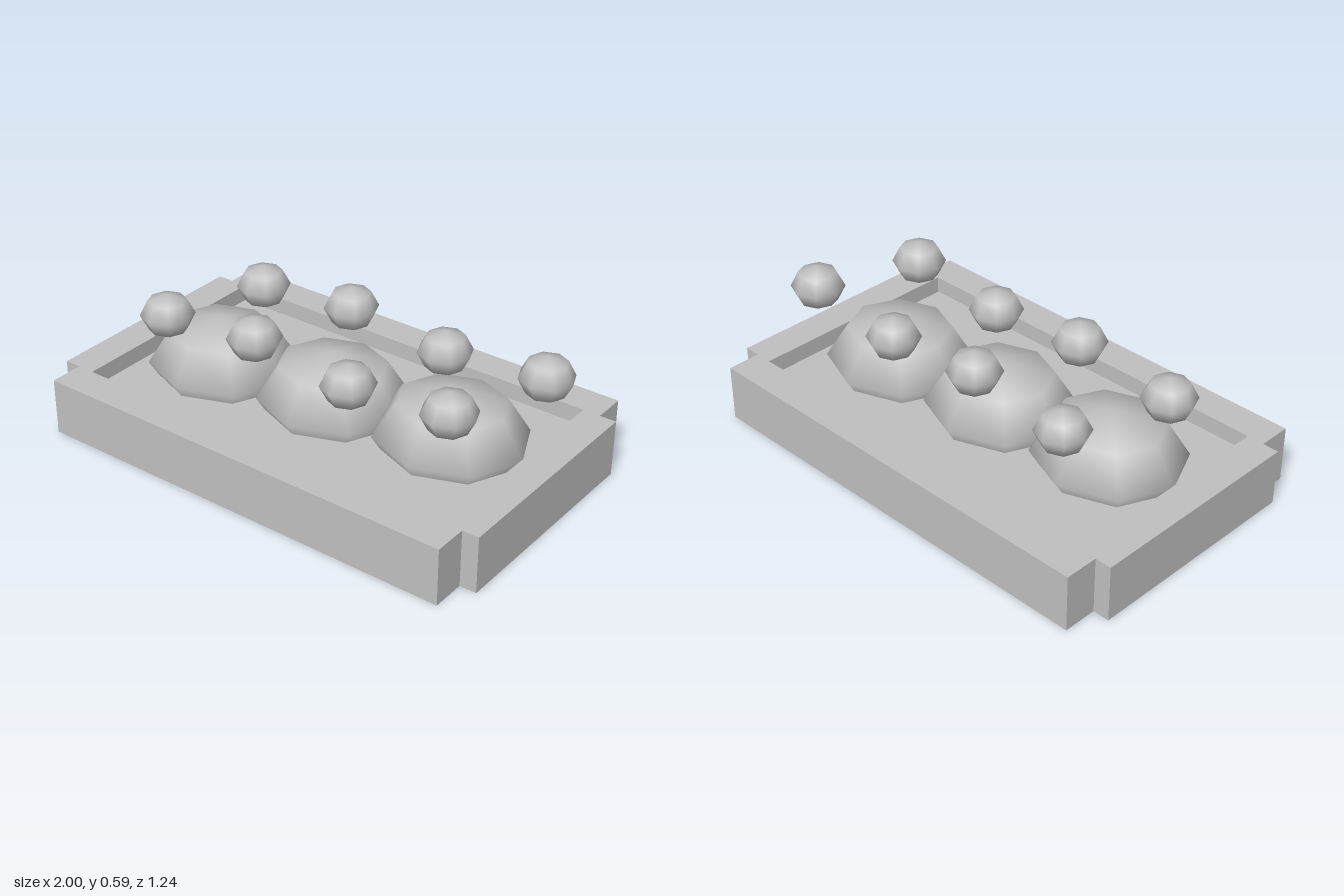
import * as THREE from 'three';

export function createModel() {
  const model = new THREE.Group();
  model.name = 'planterBed';
  const grey = new THREE.MeshStandardMaterial({ color: 0xc0c0c0 });
  grey.name = 'plain grey';

  function add(name, geometry, x, y, z) {
    const mesh = new THREE.Mesh(geometry, grey);
    mesh.name = name;
    mesh.position.set(x, y, z);
    model.add(mesh);
  }

  // Frame: long rails front and back, short rails between them
  const height = 0.24;
  const longRail = new THREE.BoxGeometry(1.86, height, 0.142);
  const shortRail = new THREE.BoxGeometry(0.143, height, 0.952);
  add('frontRail', longRail, 0, height / 2, 0.547);
  add('backRail', longRail, 0, height / 2, -0.547);
  add('leftRail', shortRail, 0.9285, height / 2, 0);
  add('rightRail', shortRail, -0.9285, height / 2, 0);

  // Thin bed of soil set inside the frame
  add('soil', new THREE.BoxGeometry(1.714, 0.008, 0.952), 0, 0.164, 0);

  // Low-poly flattened spheres with smooth shading
  const ellipsoid = (rx, ry, rz) => new THREE.SphereGeometry(1, 8, 4).scale(rx, ry, rz);

  // Three mounds of leaves, stepping diagonally across the bed
  const mound = ellipsoid(0.32, 0.2, 0.292);
  [-1, 0, 1].forEach((i) => add('leafMound', mound, i * 0.53, 0.22, -i * 0.047));

  // Two staggered rows of blossoms at alternating heights
  const blossom = ellipsoid(0.112, 0.09, 0.112);
  for (let i = 0; i < 4; i++) {
    const y = i % 2 ? 0.5 : 0.455;
    add('frontBlossom', blossom, -0.67 + i * 0.453, y, 0.215);
    add('backBlossom', blossom, -0.527 + i * 0.453, y, -0.215);
  }

  return model;
}
